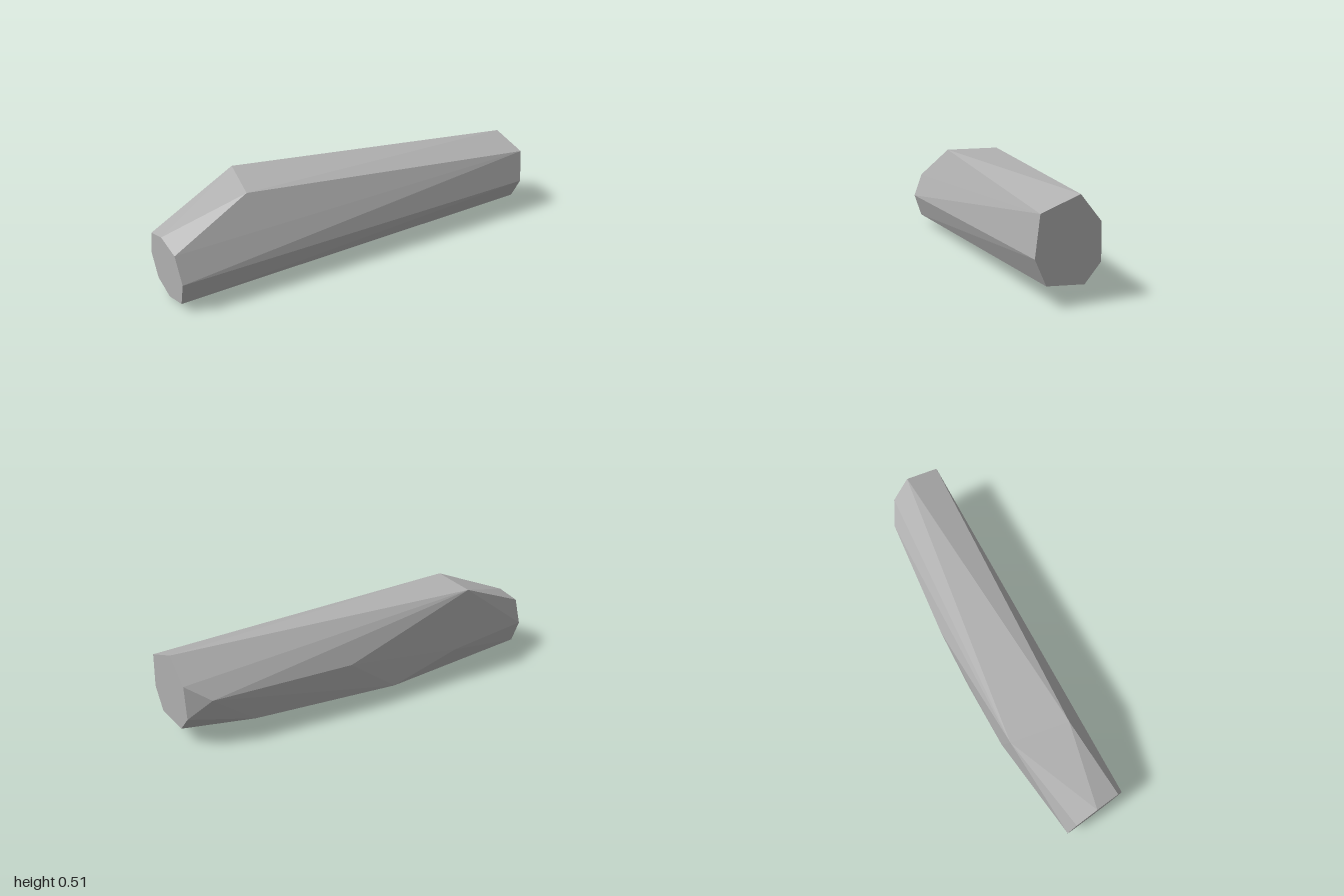
import * as THREE from 'three';
import { ConvexGeometry } from 'three/addons/geometries/ConvexGeometry.js';

// Place a [z, y] outline at a given x
const section = (x, outline) => outline.map(([z, y]) => new THREE.Vector3(x, y, z));

export function createModel() {
  const stone = new THREE.MeshStandardMaterial({ color: 0xb0b0b0, flatShading: true });
  stone.name = 'stone grey';

  // Flat seven-sided end
  const rightEnd = section(1, [
    [0.287, 0.392], [0.31, 0.212], [0.256, 0.097], [0.073, 0.083],
    [-0.007, 0.17], [-0.003, 0.34], [0.1, 0.458],
  ]);

  // Flat eight-sided end
  const leftEnd = section(-1, [
    [-0.005, 0.315], [0.045, 0.18], [0, 0.05], [-0.14, 0.012],
    [-0.258, 0.06], [-0.3, 0.185], [-0.26, 0.318], [-0.14, 0.35],
  ]);

  // Corners of the chipped top, back and underside
  const chips = [
    [-0.6, 0.507, -0.02], [-0.52, 0.515, -0.308],
    [0.9, 0.265, -0.077], [0.21, 0.278, -0.227],
    [-0.45, 0.185, -0.306], [-0.06, 0.077, -0.25],
    [0.68, 0.085, -0.075], [-0.22, 0, -0.128],
  ].map((p) => new THREE.Vector3(...p));

  const shard = new THREE.Mesh(new ConvexGeometry([...rightEnd, ...leftEnd, ...chips]), stone);
  shard.name = 'stoneShard';

  const group = new THREE.Group();
  group.name = 'longStone';
  group.add(shard);
  return group;
}
